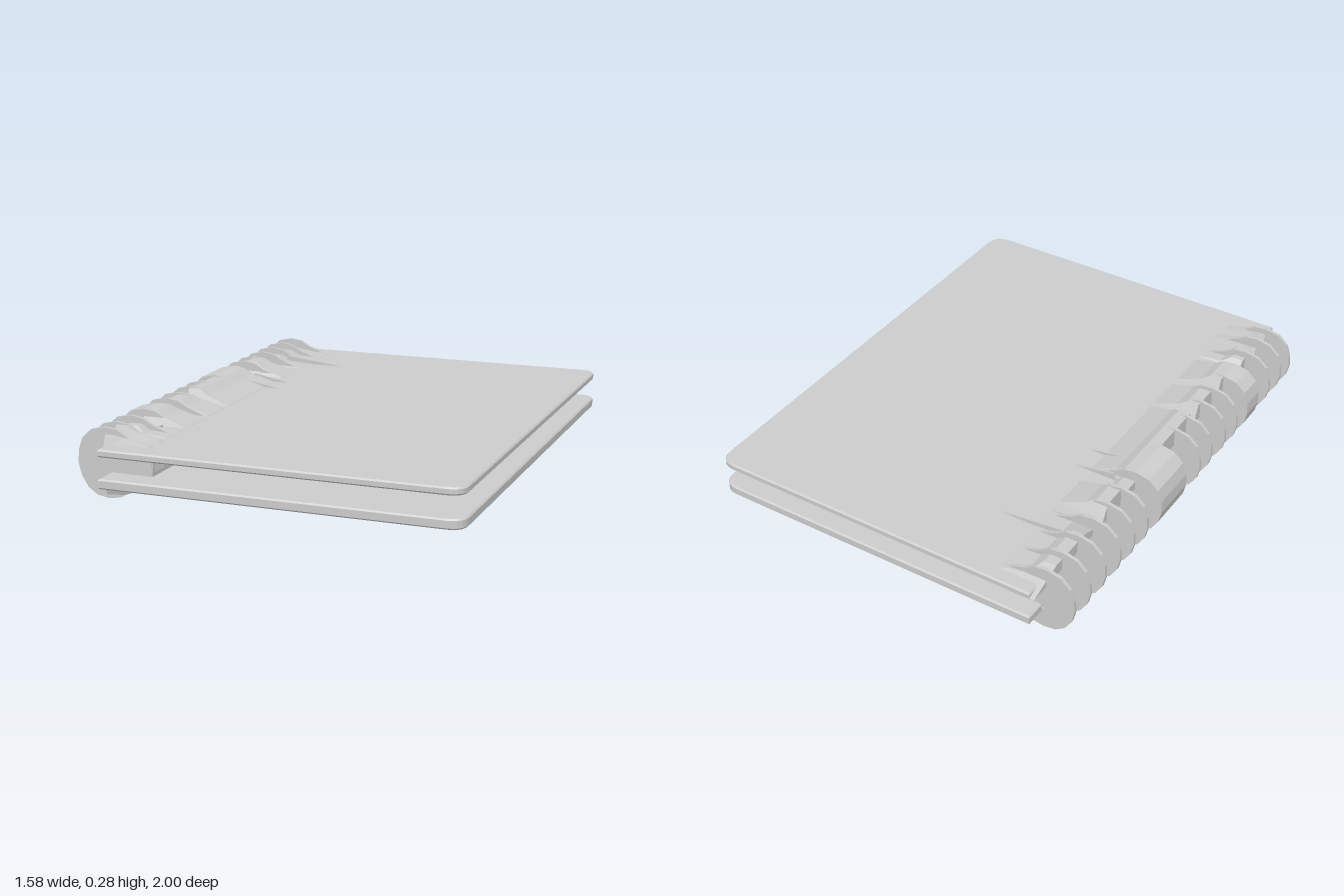
import * as THREE from 'three';

const material = new THREE.MeshStandardMaterial({ color: 0xcccccc, flatShading: true, side: THREE.DoubleSide });

function addMesh(parent, name, geometry) {
  const mesh = new THREE.Mesh(geometry, material);
  mesh.name = name;
  parent.add(mesh);
  return mesh;
}

// Extrudes an x-y outline from z0 to z1
function prism(points, z0, z1) {
  const shape = new THREE.Shape(points.map(([x, y]) => new THREE.Vector2(x, y)));
  const geometry = new THREE.ExtrudeGeometry(shape, { depth: z1 - z0, bevelEnabled: false });
  return geometry.translate(0, 0, z0);
}

// Cover board: square at the spine, rounded at the free corners
function coverGeometry(y0, y1) {
  const b = 0.006, l = -0.65 + b, r = 0.79 - b, h = 1 - b, c = 0.065;
  const s = new THREE.Shape();
  s.moveTo(l, -h);
  s.lineTo(r - c, -h);
  s.quadraticCurveTo(r, -h, r, -h + c);
  s.lineTo(r, h - c);
  s.quadraticCurveTo(r, h, r - c, h);
  s.lineTo(l, h);
  s.closePath();
  const geometry = new THREE.ExtrudeGeometry(s, {
    depth: y1 - y0 - 2 * b, bevelEnabled: true, bevelSize: b, bevelThickness: b, bevelSegments: 1, curveSegments: 5,
  });
  return geometry.rotateX(-Math.PI / 2).translate(0, y0 + b, 0);
}

// Binding ring outline: round outside, narrowing between the covers
const ringOutline = [
  [-0.47, 0.12], [-0.47, 0.18], [-0.50, 0.22], [-0.58, 0.25], [-0.62, 0.273], [-0.67, 0.28],
  [-0.73, 0.267], [-0.77, 0.23], [-0.787, 0.18], [-0.79, 0.13], [-0.778, 0.08], [-0.75, 0.035],
  [-0.71, 0.008], [-0.66, 0], [-0.61, 0.008], [-0.57, 0.035], [-0.48, 0.065],
];

// Spine fill between rings, with ends that lean inwards away from the cover
function humpGeometry(outline, z0, z1, baseY, lean) {
  const geometry = prism(outline, z0, z1);
  const p = geometry.attributes.position;
  const mid = (z0 + z1) / 2;
  for (let i = 0; i < p.count; i++) {
    const inset = Math.min(Math.abs(p.getY(i) - baseY) * lean, (z1 - z0) * 0.48);
    p.setZ(i, p.getZ(i) + (p.getZ(i) < mid ? inset : -inset));
  }
  geometry.computeVertexNormals();
  return geometry;
}

export function createModel() {
  const model = new THREE.Group();
  model.name = 'ringNotebook';

  addMesh(model, 'topCover', coverGeometry(0.19, 0.22));
  addMesh(model, 'bottomCover', coverGeometry(0.065, 0.105));

  // Thin rings along the spine
  const rings = new THREE.Group();
  rings.name = 'bindingRings';
  model.add(rings);
  for (const z of [-0.91, -0.80, -0.69, -0.58, -0.475, -0.37, 0.06, 0.16, 0.28, 0.385, 0.69, 0.80, 0.89]) {
    addMesh(rings, 'ring', prism(ringOutline, z - 0.007, z + 0.007));
  }

  // Wide closed bands
  for (const [z0, z1] of [[-0.265, -0.06], [0.48, 0.585]]) {
    addMesh(model, 'spineBand', prism(ringOutline, z0, z1));
  }

  // Raised spine above the top cover: [z0, z1, height, lean]
  const upper = [
    [-1.0, -0.5, 0.25, 3], [-0.52, -0.34, 0.275, 0.6], [-0.34, -0.26, 0.235, 0],
    [-0.28, 0.22, 0.275, 0.5], [0.22, 0.40, 0.272, 0.5], [0.42, 0.61, 0.275, 0.5],
    [0.61, 0.78, 0.25, 1], [0.78, 0.835, 0.27, 0.4], [0.865, 0.915, 0.27, 0.4],
  ];
  for (const [z0, z1, top, lean] of upper) {
    const outline = [[-0.67, 0.2], [-0.47, 0.2], [-0.48, 0.221], [-0.58, top - 0.022], [-0.62, top], [-0.67, top]];
    addMesh(model, 'upperSpine', humpGeometry(outline, z0, z1, 0.2, lean));
  }

  // Spine below the bottom cover
  const lower = [
    [-0.92, -0.5, 0.03, 1.5], [-0.5, -0.26, 0.04, 0.5], [-0.27, 0.0, 0.012, 0.3], [0.0, 0.38, 0.035, 0.4],
    [0.38, 0.61, 0.018, 1], [0.62, 0.75, 0.045, 1.2], [0.77, 0.84, 0.012, 0.45], [0.865, 0.925, 0.012, 0.4],
  ];
  for (const [z0, z1, low, lean] of lower) {
    const outline = [[-0.67, 0.09], [-0.67, low], [-0.6, low + 0.005], [-0.48, 0.063], [-0.47, 0.09]];
    addMesh(model, 'lowerSpine', humpGeometry(outline, z0, z1, 0.09, lean));
  }

  // Inner side of the binding, between the covers
  const wall = [[-0.6, 0.085], [-0.47, 0.085], [-0.47, 0.12], [-0.485, 0.2], [-0.6, 0.2]];
  addMesh(model, 'innerSpine', prism(wall, -0.92, 0.9));

  // Pointed webs reaching from the spine to the front rings
  for (const [z, half] of [[0.69, 0.085], [0.80, 0.025]]) {
    const web = new THREE.ConeGeometry(1, 0.17, 4, 1);
    web.rotateY(Math.PI / 4).rotateZ(Math.PI / 2);
    web.scale(1, 0.11, half * 1.41).translate(-0.66, 0.15, z);
    addMesh(model, 'ringWeb', web);
  }

  // Slender fins running out over the top cover: [z, tip]
  for (const [z, tip] of [[-0.67, -0.31], [-0.365, -0.47], [-0.28, -0.41], [-0.165, -0.41]]) {
    addMesh(model, 'spineFin', prism([[-0.6, 0.215], [tip, 0.219], [-0.58, 0.25]], z - 0.004, z + 0.004));
  }
  return model;
}
